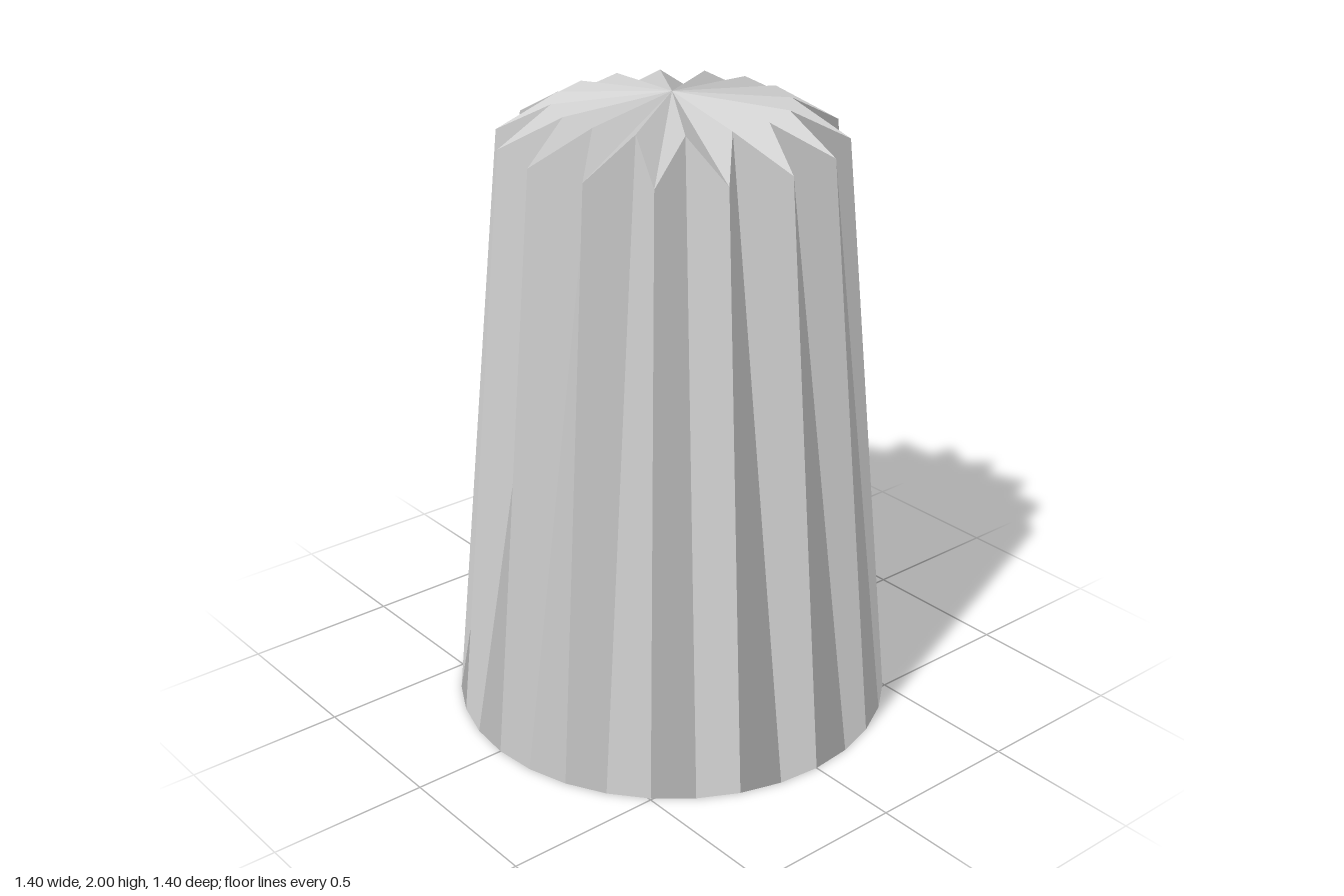
import * as THREE from 'three';

const SIDES = 32;

// Point on a ring: radius r, height y, step k around the axis
function ringPoint(r, y, k) {
  const a = (k / SIDES) * Math.PI * 2;
  return new THREE.Vector3(Math.cos(a) * r, y, Math.sin(a) * r);
}

// Round at the foot; the rim alternates low outer tips and high inner valleys
const foot = (k) => ringPoint(0.7, 0, k);
const rim = (k) => (k % 2 === 0 ? ringPoint(0.527, 1.87, k) : ringPoint(0.355, 1.97, k));

// Mesh from a list of polygons, each shaded with one flat normal
function facetedMesh(name, polygons) {
  const positions = [];
  const normals = [];
  for (const p of polygons) {
    const last = p[p.length - 1];
    // For a quad this is the cross product of its diagonals
    const n = p.length === 4
      ? p[2].clone().sub(p[0]).cross(p[3].clone().sub(p[1]))
      : p[1].clone().sub(p[0]).cross(last.clone().sub(p[0]));
    n.normalize();
    for (let i = 1; i < p.length - 1; i++) {
      for (const v of [p[0], p[i], p[i + 1]]) {
        positions.push(v.x, v.y, v.z);
        normals.push(n.x, n.y, n.z);
      }
    }
  }
  const geometry = new THREE.BufferGeometry();
  geometry.setAttribute('position', new THREE.Float32BufferAttribute(positions, 3));
  geometry.setAttribute('normal', new THREE.Float32BufferAttribute(normals, 3));
  const material = new THREE.MeshStandardMaterial({ color: 0xcccccc, side: THREE.DoubleSide });
  const mesh = new THREE.Mesh(geometry, material);
  mesh.name = name;
  return mesh;
}

export function createModel() {
  const group = new THREE.Group();
  group.name = 'flutedCap';

  const walls = [];
  const top = [];
  const apex = new THREE.Vector3(0, 2, 0);
  for (let k = 0; k < SIDES; k++) {
    // Twisted wall panel, split from its foot corner k to rim corner k + 1
    walls.push([foot(k), rim(k), rim(k + 1), foot(k + 1)]);
    // Star-shaped top, a fan around the apex
    top.push([apex, rim(k + 1), rim(k)]);
  }

  // The foot stays open, so the inside of the wall shows from below
  group.add(facetedMesh('flutedWall', walls), facetedMesh('starTop', top));
  return group;
}
